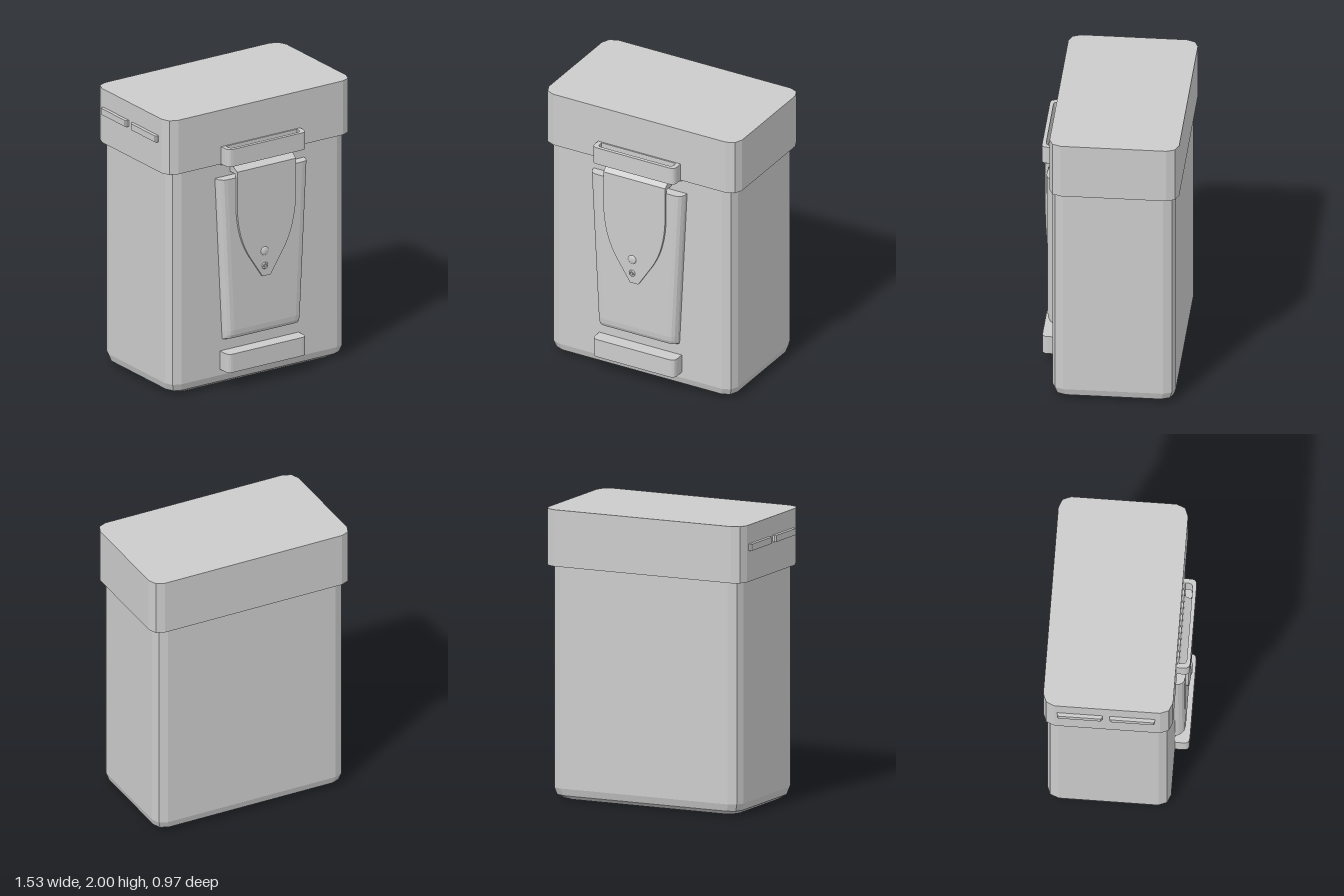
import * as THREE from 'three';

const CX = 0.01; // middle of the case in x
const smooth = new THREE.MeshStandardMaterial({ color: 0xcccccc });
const flat = new THREE.MeshStandardMaterial({ color: 0xcccccc, flatShading: true });

// Skins a stack of rings (each counter-clockwise seen from above) and caps both ends
function loft(rings) {
  const pos = [];
  const n = rings[0].length;
  const tri = (...pts) => pts.forEach((p) => pos.push(...p));
  for (let k = 0; k < rings.length - 1; k++) {
    const a = rings[k], b = rings[k + 1];
    for (let i = 0; i < n; i++) {
      const j = (i + 1) % n;
      tri(a[i], a[j], b[j]);
      tri(a[i], b[j], b[i]);
    }
  }
  const low = rings[0], top = rings[rings.length - 1];
  for (let i = 1; i < n - 1; i++) {
    tri(low[0], low[i + 1], low[i]);
    tri(top[0], top[i], top[i + 1]);
  }
  const g = new THREE.BufferGeometry();
  g.setAttribute('position', new THREE.Float32BufferAttribute(pos, 3));
  g.computeVertexNormals();
  return g;
}

// Horizontal rectangle with two-facet rounded corners
function roundedRing(y, hx, hz, cz, r) {
  const ring = [];
  for (let q = 0; q < 4; q++) {
    const sx = q === 0 || q === 3 ? 1 : -1;
    const sz = q < 2 ? -1 : 1;
    for (let s = 0; s <= 2; s++) {
      const a = (q + s / 2) * Math.PI / 2;
      ring.push([CX + sx * (hx - r) + r * Math.cos(a), y, cz + sz * (hz - r) - r * Math.sin(a)]);
    }
  }
  return ring;
}

// Bar outline seen from above, rounded at its front corners
function barOutline(half, back, front, r) {
  const s = new THREE.Shape();
  s.moveTo(-half, back);
  s.lineTo(half, back);
  s.lineTo(half, front - r);
  s.quadraticCurveTo(half, front, half - r, front);
  s.lineTo(-half + r, front);
  s.quadraticCurveTo(-half, front, -half, front - r);
  s.closePath();
  return s;
}

export function createModel() {
  const group = new THREE.Group();
  const add = (name, geometry, material, x = 0, y = 0, z = 0) => {
    const m = new THREE.Mesh(geometry, material);
    m.name = name;
    m.position.set(x, y, z);
    group.add(m);
    return m;
  };

  // Case body with a bevelled base
  add('caseBody', loft([[0, 0.06], [0.03, 0.015], [0.08, 0], [1.65, 0]].map(
    ([y, inset]) => roundedRing(y, 0.717 - inset, 0.42 - inset, -0.04, 0.08))), flat);

  // Lid in two bands meeting at a seam
  [['lidRim', 1.61, 1.88], ['lidCover', 1.88, 2]].forEach(([name, y0, y1]) =>
    add(name, loft([y0, y1].map((y) => roundedRing(y, 0.755, 0.44, -0.045, 0.082))), flat));

  // Pair of hinges on the side of the lid
  [-0.232, 0.125].forEach((z) => {
    const shape = new THREE.Shape();
    const w = 0.154, c = 0.01;
    shape.moveTo(-w, 0.02);
    shape.lineTo(-w, -0.03 + c);
    shape.lineTo(-w + c, -0.03);
    shape.lineTo(w - c, -0.03);
    shape.lineTo(w, -0.03 + c);
    shape.lineTo(w, 0.02);
    shape.closePath();
    const g = new THREE.ExtrudeGeometry(shape, { depth: 0.045, bevelEnabled: false });
    g.rotateX(Math.PI / 2);
    g.rotateY(Math.PI / 2);
    // the outline now runs along z with its chamfered edge facing outwards
    g.computeBoundingBox();
    add('hinge', g, flat, -0.74, 1.87, z);
  });

  // Tapered pouch on the front, rounded at its sides and base
  const pouchRing = ([y, half, k]) => {
    const side = [[0, 0.37], [0.003, 0.405], [0.014, 0.43], [0.032, 0.445], [0.06, 0.45]]
      .map(([inset, z]) => [half - inset, 0.37 + (z - 0.37) * k]);
    return [...side.map(([x, z]) => [CX - x, y, z]),
      ...side.reverse().map(([x, z]) => [CX + x, y, z])];
  };
  add('pouch', loft([[0.34, 0.306, 0.45], [0.35, 0.307, 0.8], [0.375, 0.308, 0.95],
    [0.41, 0.31, 1], [1.51, 0.365, 1]].map(pouchRing)), flat);

  // Hood folding from the case over the pouch, flaring at its top
  add('flapHood', loft([[1.535, 0.24, 0.45], [1.555, 0.24, 0.467], [1.59, 0.245, 0.415], [1.61, 0.35, 0.39]].map(
    ([y, half, z]) => [[CX - half, y, 0.37], [CX - half, y, z], [CX + half, y, z], [CX + half, y, 0.37]])), flat);

  // Flap narrowing to a blunt tip
  const flap = new THREE.Shape();
  flap.moveTo(-0.24, 1.555);
  flap.lineTo(-0.24, 1.28);
  flap.bezierCurveTo(-0.23, 1.09, -0.18, 0.98, -0.11, 0.88);
  flap.lineTo(-0.032, 0.76);
  flap.lineTo(0.032, 0.76);
  flap.lineTo(0.11, 0.88);
  flap.bezierCurveTo(0.18, 0.98, 0.23, 1.09, 0.24, 1.28);
  flap.lineTo(0.24, 1.555);
  flap.closePath();
  add('flap', new THREE.ExtrudeGeometry(flap, { depth: 0.023, bevelEnabled: false, curveSegments: 8 }),
    smooth, CX, 0, 0.444);

  // Domed button and ringed stud near the flap tip
  const dome = new THREE.SphereGeometry(0.032, 16, 6, 0, Math.PI * 2, 0, Math.PI / 2);
  dome.scale(1, 0.4, 1).rotateX(Math.PI / 2);
  add('button', dome, smooth, -0.005, 0.94, 0.466);
  add('studRing', new THREE.TorusGeometry(0.018, 0.007, 6, 16), smooth, -0.005, 0.835, 0.469);
  const pin = new THREE.CylinderGeometry(0.009, 0.009, 0.012, 12);
  pin.rotateX(Math.PI / 2);
  add('studPin', pin, smooth, -0.005, 0.835, 0.471);

  // Upper strap loop with an open slot, and the solid lower bar
  const addBar = (name, shape, yTop, height) => {
    const g = new THREE.ExtrudeGeometry(shape, { depth: height, bevelEnabled: false, curveSegments: 4 });
    g.rotateX(Math.PI / 2);
    add(name, g, smooth, CX, yTop, 0);
  };
  const loop = barOutline(0.322, 0.385, 0.483, 0.04);
  loop.holes.push(new THREE.Path(barOutline(0.29, 0.405, 0.457, 0.03).getPoints(4)));
  addBar('upperStrapLoop', loop, 1.735, 0.125);
  addBar('lowerBar', barOutline(0.322, 0.37, 0.48, 0.04), 0.255, 0.133);

  return group;
}
